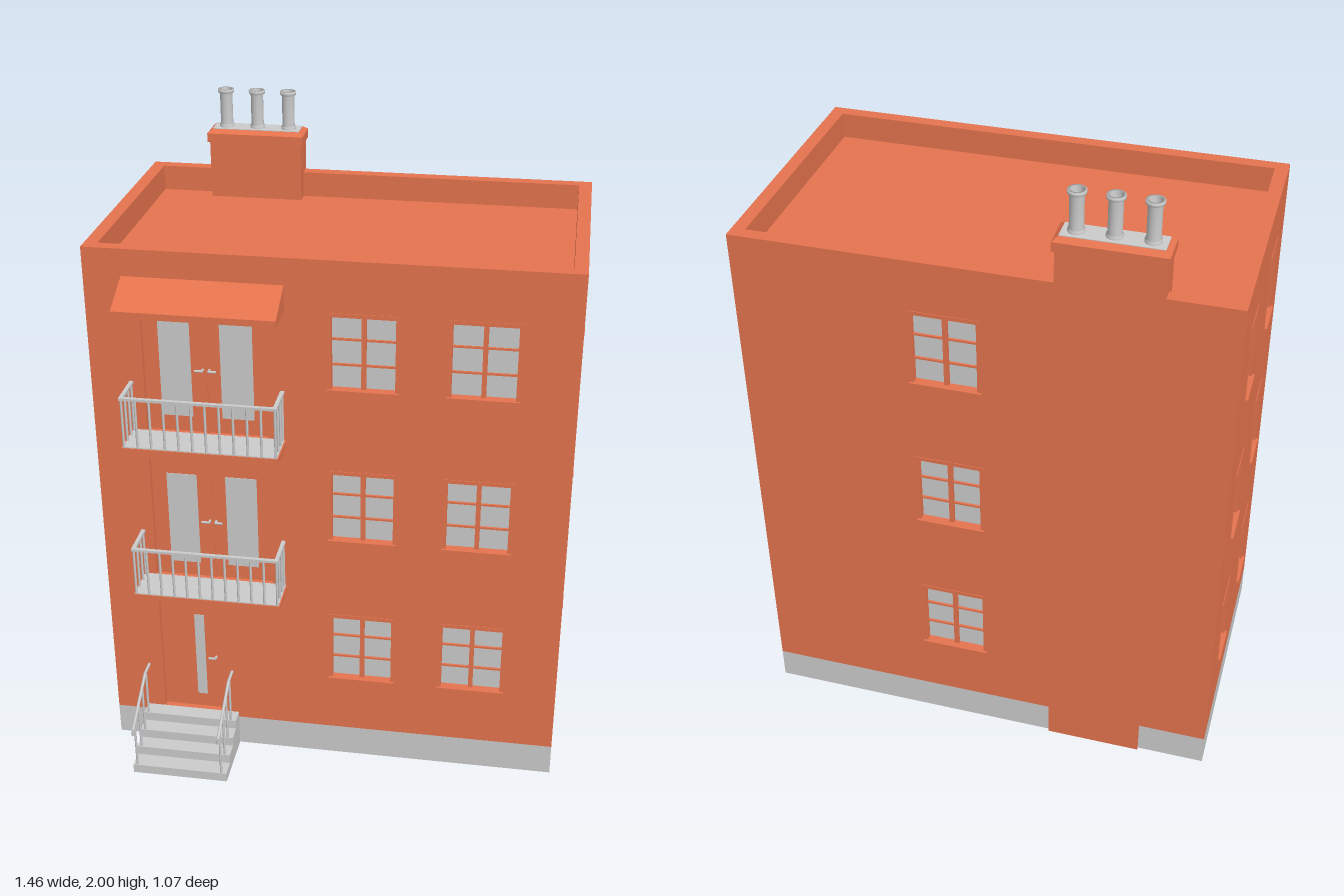
import * as THREE from 'three';

const brick = new THREE.MeshStandardMaterial({ color: 0xe5734e, side: THREE.DoubleSide });
const grey = new THREE.MeshStandardMaterial({ color: 0xcccccc, side: THREE.DoubleSide });

// House extents, wall thickness and levels
const X = 0.722, ZF = 0.308, ZB = -0.517, ZC = (ZF + ZB) / 2, D = ZF - ZB;
const T = 0.025, PLINTH = 0.105, ROOF = 1.655, TOP = 1.735;
const FLOORS = [0.42, 0.937, 1.45]; // window centre heights

function add(parent, name, geometry, material) {
  const mesh = new THREE.Mesh(geometry, material);
  mesh.name = name;
  parent.add(mesh);
  return mesh;
}

// Box given by its min and max on each axis
function box(parent, name, mat, x0, x1, y0, y1, z0, z1) {
  const m = add(parent, name, new THREE.BoxGeometry(x1 - x0, y1 - y0, z1 - z0), mat);
  m.position.set((x0 + x1) / 2, (y0 + y1) / 2, (z0 + z1) / 2);
  return m;
}

// Round bar between two points
function bar(parent, name, a, b, r) {
  const p = new THREE.Vector3(...a), q = new THREE.Vector3(...b), d = q.clone().sub(p);
  const m = add(parent, name, new THREE.CylinderGeometry(r, r, d.length(), 8), grey);
  m.position.copy(p).add(q).multiplyScalar(0.5);
  m.quaternion.setFromUnitVectors(new THREE.Vector3(0, 1, 0), d.normalize());
  return m;
}

function rect(Kind, x0, x1, y0, y1) {
  const s = new Kind();
  s.moveTo(x0, y0); s.lineTo(x1, y0); s.lineTo(x1, y1); s.lineTo(x0, y1); s.closePath();
  return s;
}

// Rectangular ring around the house
function ring(parent, name, mat, y0, y1, t) {
  const s = rect(THREE.Shape, -X, X, -ZF, -ZB);
  s.holes.push(rect(THREE.Path, -X + t, X - t, -ZF + t, -ZB - t));
  const m = add(parent, name, new THREE.ExtrudeGeometry(s, { depth: y1 - y0, bevelEnabled: false }), mat);
  m.rotation.x = -Math.PI / 2;
  m.position.y = y0;
}

// Window in a wall; the wall's outer face is z = 0
function windowUnit(wall, x, y, w, h, divided) {
  const g = new THREE.Group();
  g.name = 'window';
  g.position.set(x, y, 0);
  wall.add(g);
  const a = w / 2, b = h / 2, f = 0.006;
  box(g, 'pane', grey, -a, a, -b, b, -0.023, -0.02);
  for (const s of [-1, 1]) {
    box(g, 'frameSide', brick, s * a - f, s * a + f, -b, b, -0.022, 0.002);
  }
  box(g, 'lintel', brick, -a - f, a + f, b - f, b + f, -0.022, 0.002);
  box(g, 'sill', brick, -a - f, a + f, -b - f, -b + f, -0.022, 0.01);
  if (divided) {
    box(g, 'mullion', brick, -0.007, 0.007, -b, b, -0.022, -0.008);
    for (const k of [-1, 1]) {
      box(g, 'glazingBar', brick, -a, a, k * h / 6 - 0.003, k * h / 6 + 0.003, -0.022, -0.013);
    }
  }
}

// Wall panel with window columns [centre, width, divided] and door openings [x0, x1, y0, y1]
function wall(parent, name, halfWidth, pos, turn, columns, doors = []) {
  const g = new THREE.Group();
  g.name = name;
  g.position.set(...pos);
  g.rotation.y = turn;
  parent.add(g);
  const s = rect(THREE.Shape, -halfWidth, halfWidth, PLINTH, ROOF);
  for (const d of doors) s.holes.push(rect(THREE.Path, ...d));
  for (const [x, w, divided] of columns) {
    for (const y of FLOORS) {
      s.holes.push(rect(THREE.Path, x - w / 2, x + w / 2, y - 0.12, y + 0.12));
      windowUnit(g, x, y, w, 0.24, divided);
    }
  }
  const m = add(g, name + 'Panel', new THREE.ExtrudeGeometry(s, { depth: T, bevelEnabled: false }), brick);
  m.position.z = -T;
}

// Door leaf with glass strips and handles
function door(parent, name, [x0, x1, y0, y1], glass, handles, hy) {
  const g = new THREE.Group();
  g.name = name;
  parent.add(g);
  box(g, 'leaf', brick, x0, x1, y0, y1, ZF - 0.025, ZF - 0.018);
  for (const [a, b, c, d] of glass) box(g, 'doorGlass', grey, a, b, c, d, ZF - 0.026, ZF - 0.016);
  for (const [a, b] of handles) {
    bar(g, 'handle', [a, hy, ZF - 0.004], [b, hy, ZF - 0.004], 0.004);
    bar(g, 'handleStem', [a, hy, ZF - 0.02], [a, hy, ZF - 0.004], 0.004);
  }
}

function balcony(parent, x0, x1, y) {
  const g = new THREE.Group();
  g.name = 'balcony';
  parent.add(g);
  const z1 = 0.43, top = y + 0.18, zr = z1 - 0.006, a = x0 + 0.008, b = x1 - 0.008;
  box(g, 'slab', brick, x0, x1, y, y + 0.016, ZF, z1);
  box(g, 'floor', grey, x0 + 0.004, x1 - 0.004, y + 0.016, y + 0.019, ZF, z1 - 0.003);
  box(g, 'frontRail', grey, a - 0.006, b + 0.006, top - 0.008, top, zr - 0.006, zr + 0.006);
  for (let i = 0; i <= 11; i++) {
    const x = a + (b - a) * i / 11;
    bar(g, 'baluster', [x, y + 0.015, zr], [x, top - 0.004, zr], 0.004);
  }
  for (const x of [a, b]) {
    box(g, 'sideRail', grey, x - 0.006, x + 0.006, top - 0.008, top, ZF, zr);
    for (const z of [ZF + 0.006, ZF + 0.04, ZF + 0.078]) {
      bar(g, 'sideBaluster', [x, y + 0.015, z], [x, top - 0.004, z], 0.004);
    }
  }
}

// Shape in (z, y) extruded along x from x0 to x1
function sideProfile(parent, name, mat, pts, x0, x1) {
  const s = new THREE.Shape(pts.map(([z, y]) => new THREE.Vector2(-z, y)));
  const m = add(parent, name, new THREE.ExtrudeGeometry(s, { depth: x1 - x0, bevelEnabled: false }), mat);
  m.rotation.y = Math.PI / 2;
  m.position.x = x0;
}

function stairs(parent) {
  const g = new THREE.Group();
  g.name = 'entranceStairs';
  parent.add(g);
  const nose = [0.513, 0.458, 0.408, 0.357], rise = 0.031, x0 = -0.62, x1 = -0.31;
  const steps = [];
  nose.forEach((z, i) => steps.push([z, i * rise], [z, (i + 1) * rise]));
  steps.push([ZF, 4 * rise]);
  // Solid cheeks with a thin folded flight between them
  sideProfile(g, 'cheek', grey, [...steps, [ZF, 0]], x0, x0 + 0.015);
  sideProfile(g, 'cheek', grey, [...steps, [ZF, 0]], x1 - 0.015, x1);
  const under = steps.slice(1).map(([z, y]) => [z - 0.012, y - 0.012]).reverse();
  sideProfile(g, 'flight', grey, [...steps, ...under, [nose[0] - 0.012, 0]], x0 + 0.015, x1 - 0.015);
  // Handrails
  for (const x of [-0.607, -0.328]) {
    const path = [[0.53, 0.165], [0.53, 0.183], [0.36, 0.286], [ZF, 0.286]];
    for (let i = 0; i < 3; i++) bar(g, 'handrail', [x, path[i][1], path[i][0]], [x, path[i + 1][1], path[i + 1][0]], 0.005);
    nose.forEach((z, i) => {
      const zp = z - 0.006, yTop = Math.min(0.286, 0.183 + (0.53 - zp) * 0.606);
      bar(g, 'railPost', [x, (i + 1) * rise, zp], [x, yTop, zp], 0.004);
    });
  }
}

function chimney(parent) {
  const g = new THREE.Group();
  g.name = 'chimney';
  parent.add(g);
  const cx = -0.362, cz = -0.479;
  box(g, 'stack', brick, -0.511, -0.213, 0, 1.845, -0.526, -0.432);
  box(g, 'capBand', brick, cx - 0.156, cx + 0.156, 1.838, 1.866, cz - 0.054, cz + 0.054);
  // Cap narrowing to the top
  const cap = box(g, 'capSlope', brick, cx - 0.156, cx + 0.156, 1.866, 1.877, cz - 0.054, cz + 0.054);
  const p = cap.geometry.attributes.position;
  for (let i = 0; i < p.count; i++) {
    if (p.getY(i) > 0) p.setXYZ(i, p.getX(i) * 0.91, p.getY(i), p.getZ(i) * 0.67);
  }
  cap.geometry.computeVertexNormals();
  box(g, 'capTop', grey, cx - 0.141, cx + 0.141, 1.874, 1.879, cz - 0.035, cz + 0.035);
  const profile = [[0.024, 0], [0.024, 0.008], [0.02, 0.012], [0.02, 0.108], [0.026, 0.112], [0.026, 0.122], [0.018, 0.122], [0.016, 0.03], [0, 0.03]];
  const pot = new THREE.LatheGeometry(profile.map(([r, y]) => new THREE.Vector2(r, y)), 20);
  for (const dx of [-0.101, 0, 0.102]) add(g, 'chimneyPot', pot, grey).position.set(cx + dx, 1.878, cz);
}

export function createModel() {
  const house = new THREE.Group();
  house.name = 'townHouse';

  // Shell, open underneath
  ring(house, 'plinth', grey, 0, PLINTH, T);
  ring(house, 'parapet', brick, ROOF, TOP, 0.04);
  box(house, 'roof', brick, -X + 0.01, X - 0.01, ROOF - 0.015, ROOF, ZB + 0.01, ZF - 0.01);

  const doors = [[-0.56, -0.37, 0.124, 0.54], [-0.56, -0.183, 0.64, 1.058], [-0.56, -0.183, 1.155, 1.57]];
  const side = D / 2 - T;
  wall(house, 'frontWall', X, [0, 0, ZF], 0, [[0.1, 0.2, true], [0.45, 0.2, true]], doors);
  wall(house, 'backWall', X, [0, 0, ZB], Math.PI, [[-0.1, 0.2, true]]);
  wall(house, 'leftWall', side, [X, 0, ZC], Math.PI / 2, [[0.185, 0.12, false]]);
  wall(house, 'rightWall', side, [-X, 0, ZC], -Math.PI / 2, [[-0.185, 0.12, false], [0.185, 0.12, false]]);

  // Entrance and balcony doors
  door(house, 'entranceDoor', doors[0], [[-0.45, -0.418, 0.175, 0.487]], [[-0.383, -0.405]], 0.328);
  for (const [d, y0] of [[doors[1], 0.688], [doors[2], 1.206]]) {
    const glass = [[-0.513, -0.418, y0, y0 + 0.316], [-0.328, -0.23, y0, y0 + 0.316]];
    door(house, 'balconyDoor', d, glass, [[-0.382, -0.405], [-0.362, -0.34]], y0 + 0.157);
    box(house, 'doorGap', brick, -0.375, -0.369, d[2], d[3], ZF - 0.02, ZF - 0.014);
  }
  balcony(house, -0.602, -0.138, 0.624);
  balcony(house, -0.606, -0.132, 1.139);

  // Sloping canopy over the top balcony
  sideProfile(house, 'canopy', brick, [[ZF, 1.572], [0.43, 1.572], [0.43, 1.592], [ZF, 1.652]], -0.608, -0.13);

  stairs(house);
  chimney(house);
  return house;
}
